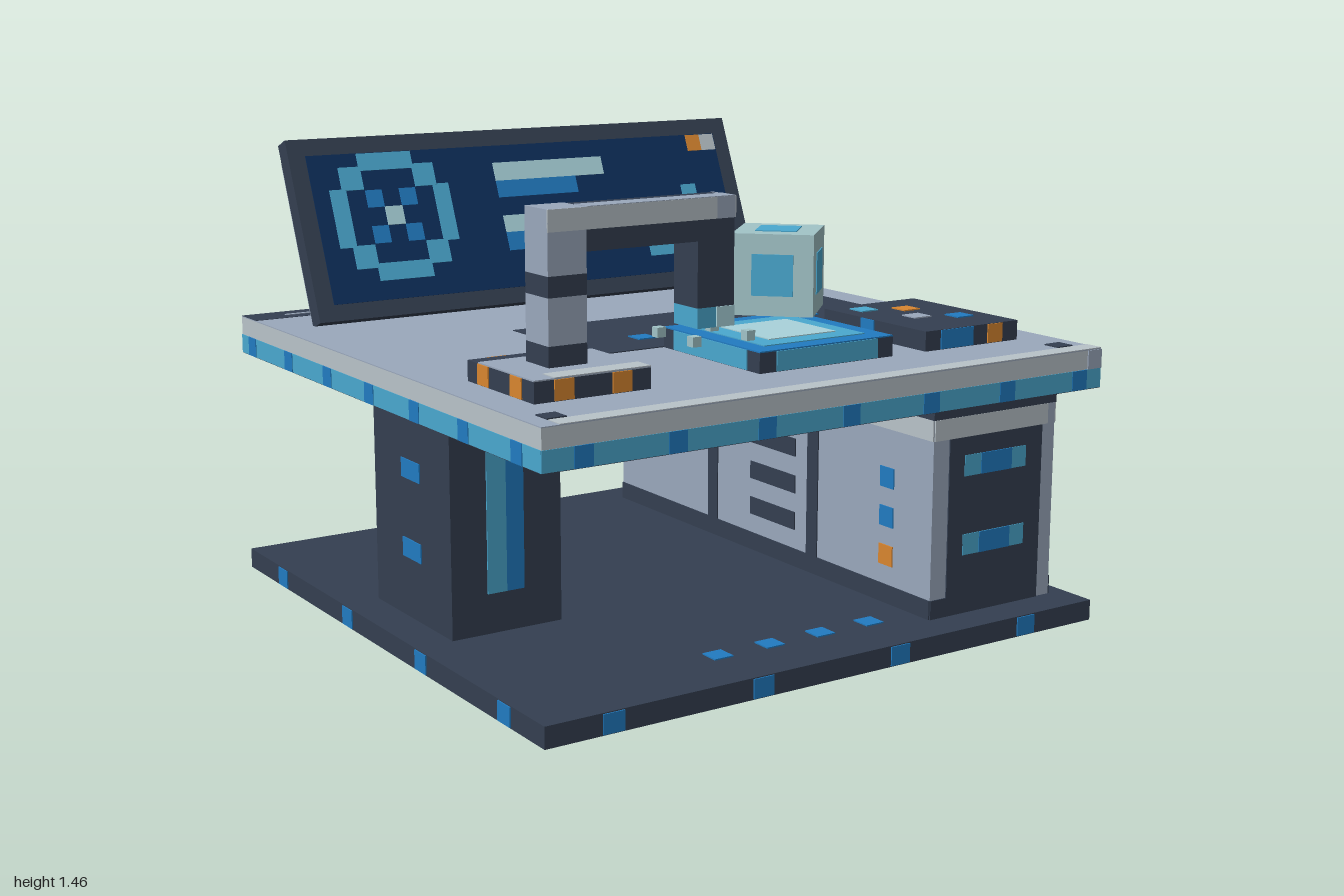
import * as THREE from 'three';

const mat = (name, color) => {
  const m = new THREE.MeshStandardMaterial({ color });
  m.name = name;
  return m;
};

export function createModel() {
  const dark = mat('dark slate', 0x343f51), grey = mat('steel grey', 0x9aa8bc);
  const light = mat('light grey', 0xb9c3c9), blue = mat('blue', 0x217bc1);
  const cyan = mat('cyan', 0x4aa8cf), pale = mat('pale cyan', 0xa9d3db);
  const navy = mat('navy', 0x0e2f5b), orange = mat('orange', 0xd98630);
  const glass = mat('cube glass', 0xa2c4c8);
  const root = new THREE.Group();
  root.name = 'workbench';

  const group = (name, parent = root) => {
    const g = new THREE.Group();
    g.name = name;
    parent.add(g);
    return g;
  };
  // Box from its limits
  const box = (p, name, m, x0, x1, y0, y1, z0, z1) => {
    const b = new THREE.Mesh(new THREE.BoxGeometry(x1 - x0, y1 - y0, z1 - z0), m);
    b.position.set((x0 + x1) / 2, (y0 + y1) / 2, (z0 + z1) / 2);
    b.name = name;
    p.add(b);
    return b;
  };
  // Thin plate lying on a face; axis and sign give the face, at its coordinate
  // u,v are (x,y) on z faces, (z,y) on x faces, (x,z) on y faces
  const plate = (p, name, m, axis, sign, at, u0, u1, v0, v1, t = 0.004) => {
    const a = Math.min(at, at + sign * t), b = Math.max(at, at + sign * t);
    if (axis === 'z') return box(p, name, m, u0, u1, v0, v1, a, b);
    if (axis === 'x') return box(p, name, m, a, b, v0, v1, u0, u1);
    return box(p, name, m, u0, u1, a, b, v0, v1);
  };
  const spot = (p, name, m, axis, sign, at, u, v, s = 0.065, t = 0.004) =>
    plate(p, name, m, axis, sign, at, u - s / 2, u + s / 2, v - s / 2, v + s / 2, t);

  // Floor slab with edge lights and floor lights
  const E = 0.996;
  const base = group('floorBase');
  box(base, 'floorSlab', dark, -E, E, 0, 0.065, -E, E);
  for (const s of [1, -1]) for (const c of [-0.78, -0.28, 0.22, 0.72]) {
    plate(base, 'edgeLight', blue, 'z', s, s * E, c - 0.035, c + 0.035, 0.003, 0.062);
    plate(base, 'edgeLight', blue, 'x', s, s * E, s * c - 0.035, s * c + 0.035, 0.003, 0.062);
  }
  for (let i = 0; i < 4; i++) spot(base, 'floorLight', blue, 'y', 1, 0.065, -0.29 + i * 0.187, 0.785);

  // Table top
  const top = group('tableTop');
  box(top, 'topUnderside', dark, -E, E, 0.75, 0.813, -E, E);
  box(top, 'topSlab', light, -E, E, 0.813, 0.872, -E, E);
  plate(top, 'topSurface', grey, 'y', 1, 0.872, -E, E, -E, E, 0.003);
  plate(top, 'frontTrim', light, 'y', 1, 0.875, -0.94, E, 0.935, E, 0.002);
  plate(top, 'backTrim', dark, 'y', 1, 0.875, -E, E, -E, -0.875 - 0.0, 0.001);
  plate(top, 'backInset', grey, 'y', 1, 0.876, -0.87, 0.87, -0.935, -0.92, 0.002);
  for (const s of [1, -1]) spot(top, 'cornerFoot', dark, 'y', 1, 0.875, s * 0.91, 0.9, 0.06);
  for (const [axis, s] of [['z', 1], ['x', 1], ['x', -1]]) {
    plate(top, 'cyanEdge', cyan, axis, s, s * E, -E, E, 0.752, 0.813, 0.002);
    for (let i = 0; i < 7; i++) {
      const c = -0.87 + i * 0.296, u = axis === 'x' ? -c : c;
      plate(top, 'blueEdgeMark', blue, axis, s, s * E, u - 0.03, u + 0.03, 0.752, 0.813);
    }
  }
  plate(top, 'edgePatch', grey, 'z', 1, E, 0.94, E, 0.813, 0.872);
  plate(top, 'edgePatch', grey, 'x', 1, E, -E, -0.94, 0.813, 0.872);
  plate(top, 'workMat', dark, 'y', 1, 0.875, -0.375, 0.875, -0.25, 0.25, 0.003);
  for (const [x, z] of [[0.215, -0.1], [-0.1, 0.09], [0.59, 0.03]])
    spot(top, 'matLight', blue, 'y', 1, 0.878, x, z);

  // Left pillar
  const pillar = group('pillar');
  box(pillar, 'pillarBody', dark, -0.875, -0.5, 0.065, 0.75, -0.25, 0.25);
  for (const s of [1, -1]) {
    plate(pillar, 'pillarCyanStrip', cyan, 'z', s, s * 0.25, -0.755, -0.69, 0.19, 0.69);
    plate(pillar, 'pillarBlueStrip', blue, 'z', s, s * 0.25, -0.69, -0.63, 0.19, 0.69);
    for (const y of [0.285, 0.535])
      plate(pillar, 'pillarSideLight', blue, 'x', s, s > 0 ? -0.5 : -0.875, -0.06, 0.06, y - 0.03, y + 0.03);
  }

  // Cabinet
  const cab = group('cabinet');
  box(cab, 'cabinetBody', grey, 0.438, 0.932, 0.065, 0.69, -0.872, 0.872);
  box(cab, 'cabinetCap', dark, 0.435, 0.935, 0.69, 0.75, -0.875, 0.875);
  for (const s of [1, -1]) {
    const z = s * 0.872;
    plate(cab, 'endTrim', light, 'z', s, z, 0.44, 0.9, 0.625, 0.69);
    plate(cab, 'drawerPanel', dark, 'z', s, z, 0.5, 0.878, 0.125, 0.625);
    plate(cab, 'drawerPanelFoot', dark, 'z', s, z, 0.438, 0.878, 0.065, 0.125);
    for (const y of [0.285, 0.535]) {
      plate(cab, 'drawerHandle', cyan, 'z', s, z, 0.56, 0.81, y - 0.033, y + 0.033, 0.006);
      plate(cab, 'handleCentre', blue, 'z', s, z, 0.625, 0.75, y - 0.033, y + 0.033, 0.008);
    }
    const x = s > 0 ? 0.932 : 0.438;
    const side = (name, m, u0, u1, v0, v1) => plate(cab, name, m, 'x', s, x, u0, u1, v0, v1);
    side('sideTrim', light, -0.81, 0.872, 0.625, 0.69);
    side('sideFoot', dark, -0.872, 0.872, 0.065, 0.125);
    for (const c of [0.283, -0.283]) side('sideDivider', dark, c - 0.028, c + 0.028, 0.125, 0.625);
    [0.47, 0.345, 0.22].forEach((y, i) => {
      spot(cab, 'sideButton', i === 2 ? orange : blue, 'x', s, x, 0.66, y);
      side('ventSlot', dark, -0.06, 0.19, y - 0.03, y + 0.03);
    });
    side('sideLampTop', cyan, -0.625, -0.5, 0.5, 0.565);
    side('sideLampBottom', blue, -0.625, -0.5, 0.44, 0.5);
  }

  // Tilted display
  const screen = group('display');
  screen.position.set(0, 1.167, -0.777);
  screen.rotation.x = -Math.PI / 8;
  box(screen, 'displayFrame', dark, -0.875, 0.875, -0.31, 0.31, -0.031, 0.03);
  const F = 0.03;
  const draw = (name, m, u0, u1, v0, v1, t = 0.004) => plate(screen, name, m, 'z', 1, F, u0, u1, v0, v1, t);
  draw('displayPanel', navy, -0.815, 0.815, -0.255, 0.252, 0.002);
  // Blocky ring, drawn as one half mirrored
  const cx = -0.535, cy = 0.03;
  for (const s of [1, -1]) {
    draw('ringCap', cyan, cx - 0.1, cx + 0.1, cy + s * 0.19 - 0.03, cy + s * 0.19 + 0.03);
    draw('ringSide', cyan, cx + s * 0.19 - 0.03, cx + s * 0.19 + 0.03, cy - 0.1, cy + 0.1);
    for (const t of [1, -1]) {
      spot(screen, 'ringCorner', cyan, 'z', 1, F, cx + s * 0.135, cy + t * 0.135, 0.08, 0.005);
      spot(screen, 'ringNode', blue, 'z', 1, F, cx + s * 0.062, cy + t * 0.062, 0.06);
    }
  }
  spot(screen, 'ringCentre', pale, 'z', 1, F, cx, cy, 0.064, 0.006);
  // Readout bars, stepped chart, status lights
  draw('readoutBar', pale, -0.13, 0.31, 0.125, 0.19);
  draw('readoutBar', blue, -0.13, 0.19, 0.065, 0.125);
  draw('readoutBar', pale, -0.13, 0.435, -0.06, 0.0);
  draw('readoutBar', blue, -0.13, 0.04, -0.125, -0.06);
  [-0.125, -0.03, -0.07, 0.065, -0.005].forEach((v, i) =>
    draw('chartBar', cyan, 0.435 + i * 0.063, 0.498 + i * 0.063, -0.19, v));
  draw('statusLight', orange, 0.69, 0.75, 0.19, 0.25);
  draw('statusLight', light, 0.75, 0.812, 0.19, 0.25);
  // Back of the display
  plate(screen, 'backPanel', grey, 'z', -1, -0.031, -0.875, 0.875, -0.31, 0.25, 0.003);
  plate(screen, 'backTopTrim', light, 'z', -1, -0.031, -0.85, 0.875, 0.25, 0.31, 0.003);
  for (const v of [-0.12, 0, 0.12])
    plate(screen, 'backVent', dark, 'z', -1, -0.031, -0.31, 0.31, v - 0.025, v + 0.025, 0.006);

  // Display supports with chamfered tops
  for (const s of [1, -1]) {
    const sup = group('displaySupport');
    box(sup, 'supportFoot', dark, s * 0.69 - 0.063, s * 0.69 + 0.063, 0.875, 0.94, -0.875, -0.75);
    const sh = new THREE.Shape([[-0.0625, 0], [0.0625, 0], [0.0625, 0.15], [0.035, 0.19], [-0.035, 0.19], [-0.0625, 0.15]]
      .map(([x, y]) => new THREE.Vector2(x, y)));
    const m = new THREE.Mesh(new THREE.ExtrudeGeometry(sh, { depth: 0.125, bevelEnabled: false }), grey);
    m.position.set(s * 0.69, 0.94, -0.875);
    m.name = 'supportBlock';
    sup.add(m);
  }

  // Projector pad and floating cube
  const pad = group('projectorPad');
  box(pad, 'padBody', dark, -0.125, 0.37, 0.875, 0.936, 0.25, 0.75);
  plate(pad, 'padTop', blue, 'y', 1, 0.936, -0.125, 0.37, 0.25, 0.75);
  plate(pad, 'padRing', cyan, 'y', 1, 0.94, -0.065, 0.31, 0.31, 0.69, 0.003);
  plate(pad, 'padCentre', pale, 'y', 1, 0.943, 0, 0.25, 0.375, 0.625, 0.003);
  for (const s of [1, -1]) {
    plate(pad, 'padSideLight', cyan, 'z', s, 0.5 + s * 0.25, -0.065, 0.31, 0.877, 0.936);
    plate(pad, 'padSideLight', cyan, 'x', s, s > 0 ? 0.37 : -0.125, 0.31, 0.69, 0.877, 0.936);
  }
  const cube = group('floatingCube');
  cube.position.set(0.124, 1.128, 0.5);
  cube.rotation.y = Math.PI / 4;
  const H = 0.123;
  box(cube, 'cubeBody', glass, -H, H, -H, H, -H, H);
  for (const axis of ['x', 'y', 'z']) for (const s of [1, -1])
    spot(cube, 'cubeWindow', cyan, axis, s, s * H, 0, 0, 0.125, 0.003);
  for (const x of [-0.285, -0.095]) for (const z of [0.465, 0.65])
    box(root, 'floatingBit', glass, x - 0.015, x + 0.015, 0.957, 0.987, z - 0.015, z + 0.015);

  // Control pad
  const keys = group('controlPad');
  box(keys, 'controlBody', dark, 0.5, 0.875, 0.875, 0.937, 0.25, 0.75);
  [[0.59, 0.34, cyan], [0.715, 0.4, orange], [0.655, 0.525, grey], [0.775, 0.59, blue]]
    .forEach(([x, z, m]) => spot(keys, 'controlButton', m, 'y', 1, 0.937, x, z));
  for (const s of [1, -1]) {
    plate(keys, 'controlBlueLight', blue, 'z', s, 0.5 + s * 0.25, 0.56, 0.69, 0.877, 0.936);
    plate(keys, 'controlOrangeLight', orange, 'z', s, 0.5 + s * 0.25, 0.75, 0.81, 0.877, 0.936);
    plate(keys, 'controlSideLight', blue, 'x', s, s > 0 ? 0.875 : 0.5, 0.44, 0.505, 0.877, 0.936);
  }

  // Overhead arm
  const arm = group('overheadArm');
  box(arm, 'armBase', dark, -0.875, -0.5, 0.875, 0.936, 0.375, 0.75);
  plate(arm, 'armBaseTop', grey, 'y', 1, 0.936, -0.875, -0.5, 0.437, 0.75);
  plate(arm, 'armBaseTrim', light, 'y', 1, 0.94, -0.81, -0.5, 0.685, 0.75, 0.002);
  for (const s of [1, -1]) for (const d of [-0.093, 0.093]) {
    const x = -0.6875 + d, z = 0.5625 + d;
    plate(arm, 'armBaseLight', orange, 'z', s, 0.5625 + s * 0.1875, x - 0.031, x + 0.031, 0.877, 0.936);
    plate(arm, 'armBaseLight', orange, 'x', s, s > 0 ? -0.5 : -0.875, z - 0.031, z + 0.031, 0.877, 0.936);
  }
  [[0.94, 1, dark], [1, 1.135, grey], [1.135, 1.195, dark], [1.195, 1.38, grey]].forEach(([y0, y1, m]) =>
    box(arm, 'armPost', m, -0.755, -0.63, y0, y1, 0.5, 0.625));
  box(arm, 'armBeam', dark, -0.63, -0.127, 1.255, 1.378, 0.5, 0.622);
  plate(arm, 'beamFrontTrim', light, 'z', 1, 0.622, -0.755, -0.19, 1.317, 1.38);
  plate(arm, 'beamFrontEnd', grey, 'z', 1, 0.622, -0.19, -0.127, 1.317, 1.38);
  plate(arm, 'beamTopTrim', grey, 'y', 1, 1.378, -0.63, -0.127, 0.56, 0.625);
  plate(arm, 'beamEndTrim', light, 'x', 1, -0.127, 0.55, 0.625, 1.317, 1.38);
  plate(arm, 'beamEndTrim', grey, 'x', 1, -0.127, 0.5, 0.55, 1.255, 1.38);
  box(arm, 'armHead', dark, -0.255, -0.127, 1.06, 1.255, 0.5, 0.622);
  box(arm, 'armEmitter', cyan, -0.255, -0.127, 1.0, 1.06, 0.5, 0.622);
  plate(arm, 'emitterTip', pale, 'z', 1, 0.622, -0.19, -0.127, 1.0, 1.06);

  return root;
}
